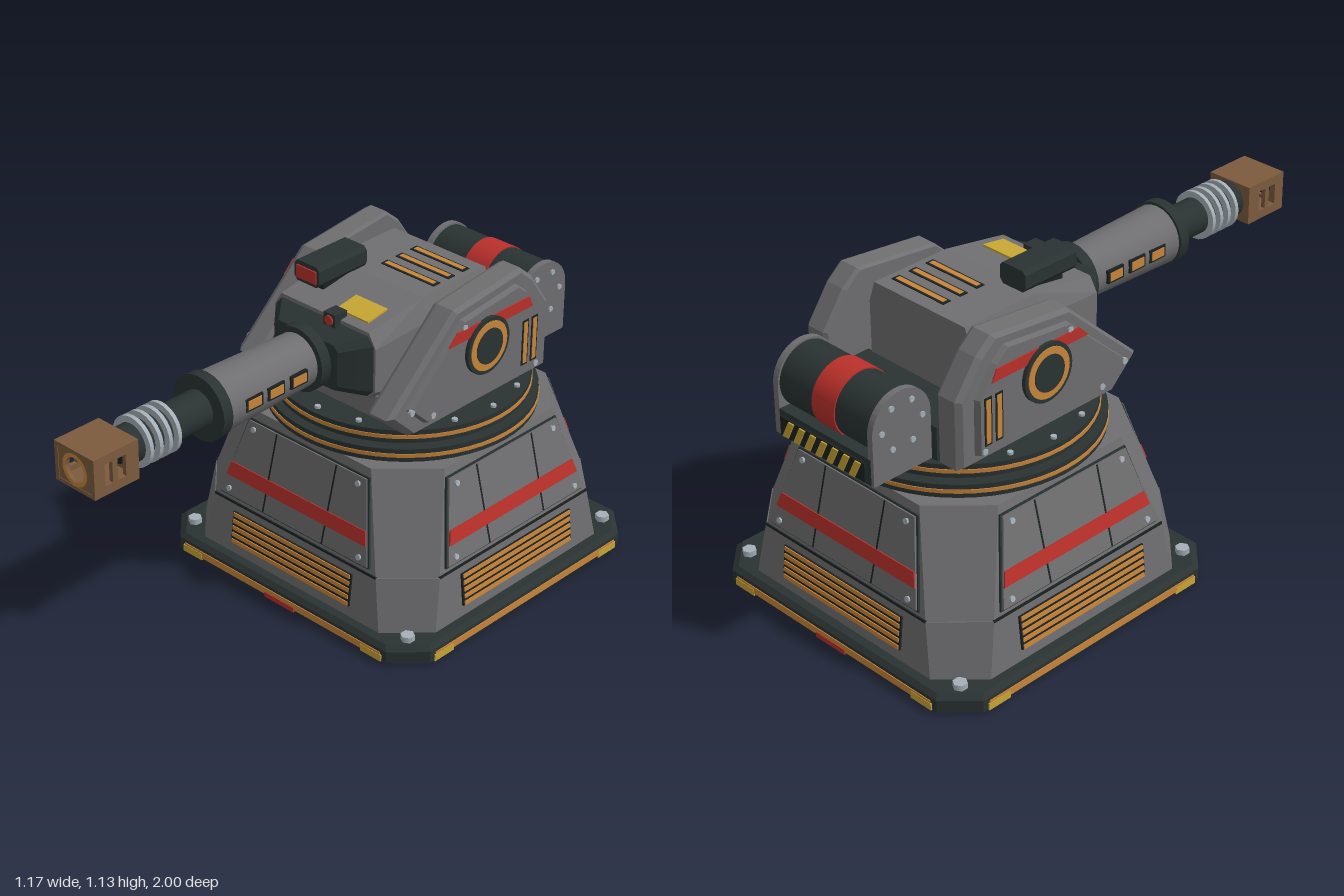
import * as THREE from 'three';
import { ConvexGeometry } from 'three/addons/geometries/ConvexGeometry.js';

const paint = (name, color) => Object.assign(new THREE.MeshStandardMaterial({ color }), { name });
const M = {
  gray: paint('armour gray', 0x6f6f71),
  dark: paint('dark metal', 0x2a3232),
  black: paint('recess black', 0x1c2222),
  orange: paint('glow orange', 0xc8853a),
  red: paint('marking red', 0xbb302b),
  yellow: paint('warning yellow', 0xc8a732),
  brown: paint('muzzle brown', 0x7d5b3d),
  light: paint('bolt steel', 0xa6b0b8),
};
const V = (x, y, z) => new THREE.Vector3(x, y, z);
const CZ = -0.42; // centre of base and turntable

function add(parent, name, geo, mat, x = 0, y = 0, z = 0) {
  const m = new THREE.Mesh(geo, mat);
  m.name = name;
  m.position.set(x, y, z);
  parent.add(m);
  return m;
}
const box = (p, name, mat, w, h, d, x, y, z) => add(p, name, new THREE.BoxGeometry(w, h, d), mat, x, y, z);
const hull = (p, name, mat, pts) => add(p, name, new ConvexGeometry(pts), mat);
// Cylinder along axis 'x', 'y' or 'z'; r1 is the radius at the positive end
function cyl(p, name, mat, axis, r1, r0, len, x, y, z, seg = 32) {
  const g = new THREE.CylinderGeometry(r1, r0, len, seg);
  if (axis === 'z') g.rotateX(Math.PI / 2);
  if (axis === 'x') g.rotateZ(-Math.PI / 2);
  return add(p, name, g, mat, x, y, z);
}
function plate(p, name, mat, pts, depth, z = 0) {
  const shape = new THREE.Shape(pts.map(([x, y]) => new THREE.Vector2(x, y)));
  return add(p, name, new THREE.ExtrudeGeometry(shape, { depth, bevelEnabled: false }), mat, 0, 0, z);
}
function group(parent, name) {
  const g = new THREE.Group();
  g.name = name;
  parent.add(g);
  return g;
}
// Square with cut corners at height y
function octagon(y, half, cut) {
  const pts = [];
  for (const a of [-1, 1]) for (const b of [-1, 1]) {
    pts.push(V(a * half, y, CZ + b * (half - cut)), V(a * (half - cut), y, CZ + b * half));
  }
  return pts;
}

function buildBase(root) {
  const base = group(root, 'base');
  hull(base, 'footPlate', M.dark, [...octagon(0, 0.57, 0.1), ...octagon(0.008, 0.58, 0.1),
    ...octagon(0.05, 0.58, 0.1), ...octagon(0.065, 0.565, 0.1)]);
  hull(base, 'lowerHousing', M.gray, [...octagon(0.06, 0.535, 0.13), ...octagon(0.25, 0.515, 0.145)]);
  hull(base, 'upperHousing', M.gray, [...octagon(0.25, 0.513, 0.145), ...octagon(0.58, 0.43, 0.165)]);
  for (const a of [-1, 1]) for (const b of [-1, 1]) {
    cyl(base, 'anchorBolt', M.light, 'y', 0.024, 0.024, 0.03, a * 0.495, 0.07, CZ + b * 0.495, 6);
    cyl(base, 'underBolt', M.black, 'y', 0.02, 0.02, 0.01, a * 0.3, 0, CZ + b * 0.3, 12).position.y = 0.003;
  }
  // underside ring and plug
  const ring = add(base, 'undersideRing', new THREE.RingGeometry(0.165, 0.21, 40), M.brown, 0, -0.001, CZ);
  ring.rotation.x = Math.PI / 2;
  const plug = add(base, 'undersidePlug', new THREE.CircleGeometry(0.07, 24), M.gray, 0, -0.001, CZ);
  plug.rotation.x = Math.PI / 2;

  // the same panel, grille and rim trim on all four sides
  for (let k = 0; k < 4; k++) {
    const side = group(base, 'baseSide');
    side.position.z = CZ;
    side.rotation.y = k * Math.PI / 2;
    box(side, 'rimStrip', M.orange, 0.91, 0.025, 0.008, 0, 0.026, 0.579);
    for (const s of [-1, 1]) box(side, 'rimWarning', M.yellow, 0.09, 0.025, 0.009, s * 0.415, 0.018, 0.58);
    if (k % 2 === 0) box(side, 'rimMarker', M.red, 0.135, 0.018, 0.009, 0, 0.013, 0.58);
    box(side, 'seam', M.black, 0.74, 0.009, 0.008, 0, 0.25, 0.512);

    const low = group(side, 'grille');
    low.position.set(0, 0.163, 0.525);
    low.rotation.x = -0.108;
    box(low, 'grilleRecess', M.black, 0.545, 0.118, 0.012, 0, 0, 0);
    for (let i = 0; i < 5; i++) box(low, 'grilleBar', M.orange, 0.535, 0.014, 0.008, 0, (i - 2) * 0.025, 0.006);

    const up = group(side, 'armourPanel');
    up.position.set(0, 0.41, 0.472);
    up.rotation.x = -0.2526;
    const trap = (g) => [[-0.335 - g, -0.14 - g], [0.335 + g, -0.14 - g], [0.265 + g, 0.14 + g], [-0.265 - g, 0.14 + g]];
    plate(up, 'panelEdge', M.dark, trap(0.006), 0.008);
    plate(up, 'panelFace', M.gray, trap(0), 0.015);
    for (const s of [-1, 1]) {
      box(up, 'panelSeam', M.black, 0.006, 0.278, 0.004, s * 0.135, 0, 0.0145);
      for (const [x, y] of [[0.237, 0.115], [0.297, -0.118]])
        cyl(up, 'panelBolt', M.light, 'z', 0.01, 0.01, 0.014, s * x, y, 0.015, 8);
    }
    plate(up, 'panelStripe', M.red, [[-0.318, -0.073], [0.318, -0.073], [0.305, -0.024], [-0.305, -0.024]], 0.005, 0.015);
  }
}

function buildTurntable(root) {
  const t = group(root, 'turntable');
  for (const [y, r] of [[0.605, 0.455], [0.66, 0.43]]) {
    cyl(t, 'bearingRing', M.dark, 'y', r, r, 0.046, 0, y, CZ, 56);
    cyl(t, 'bearingGlow', M.orange, 'y', r + 0.003, r + 0.003, 0.013, 0, y, CZ, 56);
  }
  cyl(t, 'bearingCore', M.black, 'y', 0.4, 0.4, 0.1, 0, 0.62, CZ, 40);
  for (let i = 0; i < 16; i++) {
    const a = i * Math.PI / 8;
    cyl(t, 'bearingBolt', M.light, 'y', 0.01, 0.01, 0.012, 0.4 * Math.cos(a), 0.686, CZ + 0.4 * Math.sin(a), 8);
  }
}

function buildCheek(root, s) {
  const cheek = group(root, s > 0 ? 'leftCheek' : 'rightCheek');
  const outline = [[0.01, 0.78], [-0.29, 1.055], [-0.61, 1.09], [-0.67, 1.04], [-0.755, 0.92], [-0.755, 0.685], [-0.09, 0.685]];
  const slice = (x, k) => outline.map(([z, y]) => V(s * x, 0.87 + (y - 0.87) * k, -0.4 + (z + 0.4) * k));
  hull(cheek, 'cheekArmour', M.gray, [...slice(0.245, 0.97), ...slice(0.258, 1), ...slice(0.325, 1), ...slice(0.342, 0.95)]);
  hull(cheek, 'cheekPanel', M.gray, [...slice(0.33, 0.84), ...slice(0.362, 0.8)]);
  // details lie on a plane facing outward; local x follows world -z on the left
  const f = group(cheek, 'cheekDetails');
  f.position.x = s * 0.36;
  f.rotation.y = s * Math.PI / 2;
  const px = (z) => -s * z;
  let stripe = [[-0.235, 0.955], [-0.64, 0.955], [-0.62, 0.995], [-0.275, 0.995]].map(([z, y]) => [px(z), y]);
  plate(f, 'cheekStripe', M.red, stripe, 0.006);
  cyl(f, 'hubRim', M.dark, 'z', 0.1, 0.1, 0.03, px(-0.415), 0.9, 0);
  cyl(f, 'hubGlow', M.orange, 'z', 0.086, 0.086, 0.008, px(-0.415), 0.9, 0.014);
  cyl(f, 'hubCap', M.dark, 'z', 0.062, 0.062, 0.012, px(-0.415), 0.9, 0.015);
  for (const z of [-0.61, -0.655]) {
    box(f, 'ventFrame', M.black, 0.03, 0.165, 0.006, px(z), 0.83, 0.001);
    box(f, 'ventGlow', M.orange, 0.018, 0.15, 0.008, px(z), 0.83, 0.002);
  }
  for (const [z, y] of [[-0.07, 0.79], [-0.17, 0.74], [-0.67, 0.73], [-0.31, 1.0]])
    cyl(f, 'cheekBolt', M.light, 'z', 0.011, 0.011, 0.012, px(z), y, 0, 8);
  cyl(cheek, 'pivot', M.light, 'x', 0.05, 0.05, 0.07, s * 0.23, 0.9, -0.25, 20);
}

function buildHead(root) {
  const head = group(root, 'head');
  const section = (z, hw, yb, yt, dx, dy) => [-1, 1].flatMap((s) =>
    [V(s * (hw - dx), yt, z), V(s * hw, yt - dy, z), V(s * hw, yb + dx, z), V(s * (hw - dx), yb, z)]);
  hull(head, 'headShell', M.gray, [...section(-0.59, 0.225, 0.74, 1.055, 0.025, 0.075),
    ...section(-0.29, 0.225, 0.74, 1.055, 0.025, 0.075), ...section(-0.05, 0.222, 0.785, 1.018, 0.03, 0.05)]);
  hull(head, 'headFront', M.dark, [...section(-0.052, 0.215, 0.79, 1.005, 0.025, 0.03),
    ...section(-0.01, 0.18, 0.805, 0.99, 0.02, 0.02), ...section(0.035, 0.14, 0.82, 0.98, 0.02, 0.02)]);
  box(head, 'pedestal', M.gray, 0.45, 0.09, 0.6, 0, 0.72, -0.4);
  box(head, 'rearDeck', M.dark, 0.49, 0.12, 0.17, 0, 0.74, -0.67);
  box(head, 'chinMarker', M.red, 0.09, 0.022, 0.009, 0, 0.771, -0.097);
  // roof equipment
  for (const z of [-0.525, -0.455, -0.385]) {
    box(head, 'roofSlitFrame', M.black, 0.23, 0.006, 0.032, 0.06, 1.055, z);
    box(head, 'roofSlit', M.orange, 0.21, 0.008, 0.018, 0.06, 1.056, z);
  }
  box(head, 'sightFoot', M.black, 0.07, 0.04, 0.16, -0.127, 1.045, -0.22);
  hull(head, 'sightBox', M.dark, [...[-0.32, -0.1].flatMap((z) => [[-0.182, 1.07], [-0.182, 1.115], [-0.17, 1.128],
    [-0.084, 1.128], [-0.072, 1.115], [-0.072, 1.07], [-0.084, 1.055], [-0.17, 1.055]].map(([x, y]) => V(x, y, z)))]);
  box(head, 'sightLens', M.red, 0.085, 0.045, 0.008, -0.127, 1.09, -0.099);
  box(head, 'roofPlate', M.yellow, 0.135, 0.008, 0.09, 0.088, 1.033, -0.13).rotation.x = 0.153;
  box(head, 'sensor', M.dark, 0.05, 0.05, 0.055, 0.046, 1.017, -0.052);
  cyl(head, 'sensorLens', M.red, 'z', 0.017, 0.017, 0.008, 0.046, 1.019, -0.023, 16);
}

function buildBarrel(root) {
  const gun = group(root, 'barrel');
  gun.position.y = 0.9;
  cyl(gun, 'rootCollar', M.dark, 'z', 0.112, 0.112, 0.04, 0, 0, 0.055, 24);
  cyl(gun, 'barrelSleeve', M.gray, 'z', 0.103, 0.092, 0.4, 0, 0, 0.265, 24);
  cyl(gun, 'frontCollar', M.dark, 'z', 0.112, 0.112, 0.038, 0, 0, 0.48, 24);
  cyl(gun, 'barrelTube', M.dark, 'z', 0.063, 0.063, 0.34, 0, 0, 0.66, 24);
  for (const z of [0.655, 0.692, 0.73, 0.768]) cyl(gun, 'coolingRing', M.light, 'z', 0.085, 0.085, 0.014, 0, 0, z, 24);
  for (const s of [-1, 1]) for (const z of [0.165, 0.265, 0.36]) {
    box(gun, 'sleeveFrame', M.black, 0.02, 0.045, 0.072, s * 0.092, 0.003, z);
    box(gun, 'sleeveGlow', M.orange, 0.02, 0.03, 0.056, s * 0.095, 0.003, z);
  }
  // hollow muzzle block: slotted sides, bored front
  const muzzle = group(gun, 'muzzle');
  const rect = (C, x0, x1, y0, y1) => new C([[x0, y0], [x1, y0], [x1, y1], [x0, y1]].map((p) => new THREE.Vector2(...p)));
  const wall = rect(THREE.Shape, -1, -0.825, -0.068, 0.068);
  wall.holes.push(rect(THREE.Path, -0.958, -0.928, -0.037, 0.037), rect(THREE.Path, -0.908, -0.876, -0.037, 0.037));
  const wallGeo = new THREE.ExtrudeGeometry(wall, { depth: 0.015, bevelEnabled: false }).rotateY(Math.PI / 2);
  for (const x of [-0.087, 0.072]) add(muzzle, 'muzzleSide', wallGeo, M.brown, x, 0, 0);
  for (const s of [-1, 1]) box(muzzle, 'muzzleCap', M.brown, 0.146, 0.013, 0.175, 0, s * 0.0615, 0.9125);
  box(muzzle, 'muzzleBack', M.brown, 0.146, 0.12, 0.012, 0, 0, 0.831);
  const face = rect(THREE.Shape, -0.074, 0.074, -0.062, 0.062);
  face.holes.push(new THREE.Path().absarc(0, 0, 0.043, 0, Math.PI * 2));
  add(muzzle, 'muzzleFace', new THREE.ExtrudeGeometry(face, { depth: 0.012, bevelEnabled: false }), M.brown, 0, 0, 0.986);
  add(muzzle, 'boreRing', new THREE.RingGeometry(0.041, 0.055, 32), M.orange, 0, 0, 0.9992);
  cyl(muzzle, 'bore', M.black, 'z', 0.045, 0.045, 0.006, 0, 0, 0.838);
}

function buildDrum(root) {
  const drum = group(root, 'rearDrum');
  const y = 0.855, z = -0.87, r = 0.115;
  cyl(drum, 'drumBody', M.dark, 'x', 0.108, 0.108, 0.4, 0, y, z, 40);
  cyl(drum, 'drumBand', M.red, 'x', 0.112, 0.112, 0.1, 0, y, z, 40);
  box(drum, 'drumTray', M.dark, 0.42, 0.09, 0.22, 0, 0.73, -0.875);
  for (const s of [-1, 1]) {
    const pts = [];
    for (const x of [0.2, 0.222]) {
      for (let i = 0; i <= 20; i++) pts.push(V(s * x, y + r * Math.sin(i * Math.PI / 20), z + r * Math.cos(i * Math.PI / 20)));
      pts.push(V(s * x, 0.685, z + r), V(s * x, 0.685, z - r));
    }
    hull(drum, 'drumEndPlate', M.gray, pts);
    for (let i = 0; i < 6; i++) {
      const a = i * Math.PI / 3;
      cyl(drum, 'drumBolt', M.light, 'x', 0.01, 0.01, 0.012, s * 0.222, y + 0.08 * Math.sin(a), z + 0.08 * Math.cos(a), 8);
    }
  }
  // hazard plate facing backwards
  const hz = group(drum, 'hazardPlate');
  hz.position.set(0, 0.725, -0.985);
  hz.rotation.y = Math.PI;
  box(hz, 'hazardBack', M.black, 0.38, 0.066, 0.016, 0, 0, 0);
  for (let i = -3; i <= 3; i++) {
    const x = i * 0.05;
    plate(hz, 'hazardStripe', M.yellow, [[x - 0.027, -0.03], [x - 0.002, -0.03], [x + 0.028, 0.03], [x + 0.003, 0.03]], 0.005, 0.008);
  }
}

export function createModel() {
  const root = new THREE.Group();
  root.name = 'turret';
  buildBase(root);
  buildTurntable(root);
  for (const s of [-1, 1]) buildCheek(root, s);
  buildHead(root);
  buildBarrel(root);
  buildDrum(root);
  return root;
}
